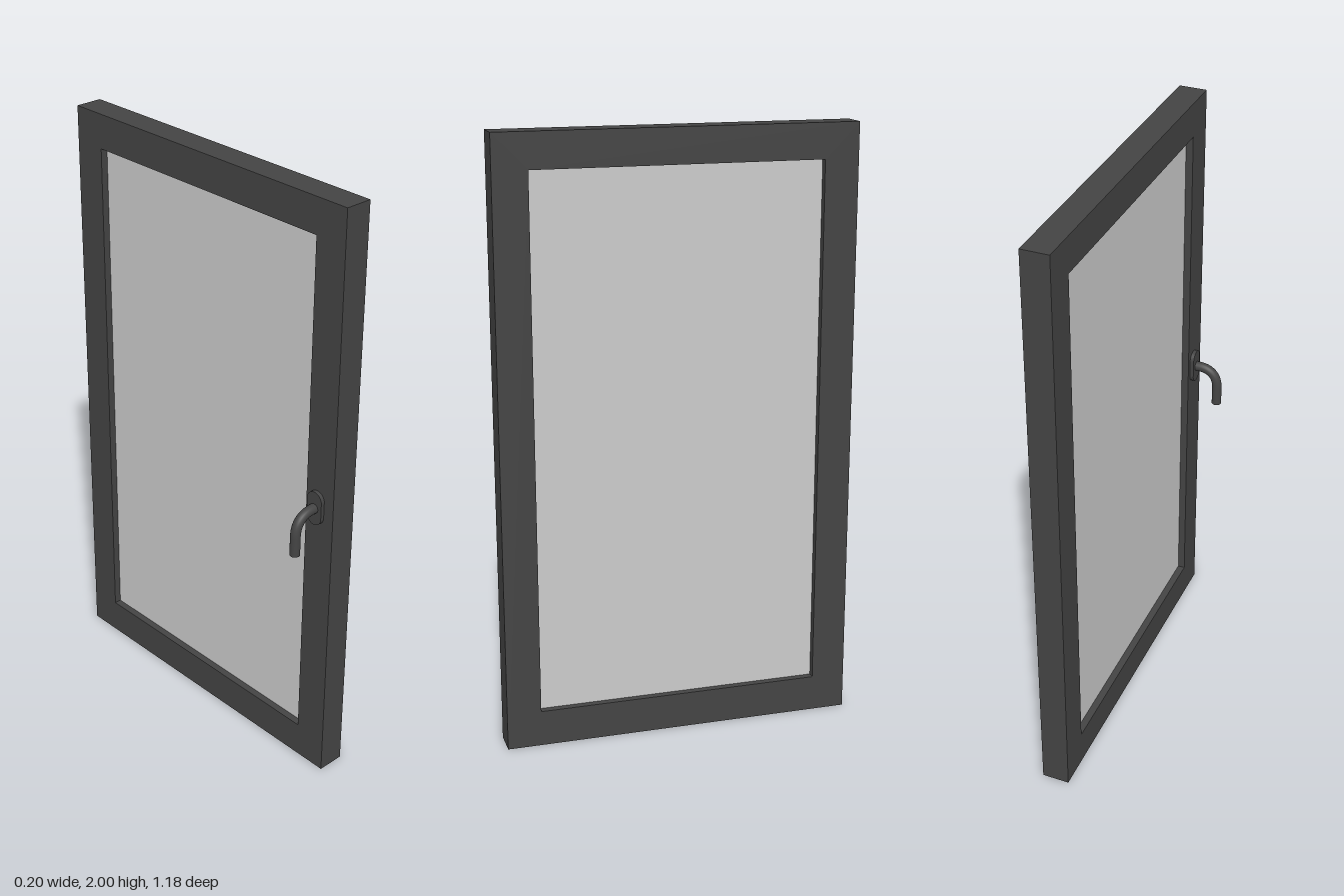
import * as THREE from 'three';

const dark = new THREE.MeshStandardMaterial({ color: 0x444444 });
const pale = new THREE.MeshStandardMaterial({ color: 0xcccccc });

function add(parent, name, geometry, material) {
  const mesh = new THREE.Mesh(geometry, material);
  mesh.name = name;
  parent.add(mesh);
  return mesh;
}

function rectangle(PathType, halfWidth, bottom, top) {
  return new PathType([
    [-halfWidth, bottom], [halfWidth, bottom], [halfWidth, top], [-halfWidth, top],
  ].map(([x, y]) => new THREE.Vector2(x, y)));
}

// Extrudes a shape drawn face-on so that its thickness runs along x
function extrudeAlongX(shape, depth) {
  return new THREE.ExtrudeGeometry(shape, { depth, bevelEnabled: false, curveSegments: 24 })
    .rotateY(Math.PI / 2);
}

export function createModel() {
  const window = new THREE.Group();
  window.name = 'window';

  // Frame with a rectangular opening
  const outline = rectangle(THREE.Shape, 0.588, 0, 2);
  outline.holes.push(rectangle(THREE.Path, 0.475, 0.12, 1.885));
  add(window, 'frame', extrudeAlongX(outline, 0.092), dark).position.x = 0.005;

  // Glass unit, recessed from both faces of the frame
  add(window, 'glass', new THREE.BoxGeometry(0.044, 1.765, 0.95), pale)
    .position.set(0.051, 1.0025, 0);

  // Handle on the inner face
  const handle = new THREE.Group();
  handle.name = 'handle';
  handle.position.set(0.005, 1.003, 0.52);
  window.add(handle);

  // Rounded backplate
  const plate = new THREE.Shape();
  plate.absarc(0, 0.028, 0.03, 0, Math.PI);
  plate.absarc(0, -0.028, 0.03, Math.PI, Math.PI * 2);
  add(handle, 'handlePlate', extrudeAlongX(plate, 0.013), dark).position.x = -0.013;

  // Lever: straight neck, quarter bend, straight grip
  const point = (x, y) => new THREE.Vector3(x, y, 0);
  const path = new THREE.CurvePath();
  path.add(new THREE.LineCurve3(point(0, 0), point(-0.025, 0)));
  path.add(new THREE.CubicBezierCurve3(
    point(-0.025, 0), point(-0.063, 0), point(-0.091, -0.022), point(-0.091, -0.07)));
  path.add(new THREE.LineCurve3(point(-0.091, -0.07), point(-0.091, -0.135)));
  add(handle, 'handleLever', new THREE.TubeGeometry(path, 40, 0.0165, 20), dark);

  // Flat end of the grip
  add(handle, 'gripEnd', new THREE.CircleGeometry(0.0165, 20).rotateX(Math.PI / 2), dark)
    .position.set(-0.091, -0.135, 0);

  return window;
}
